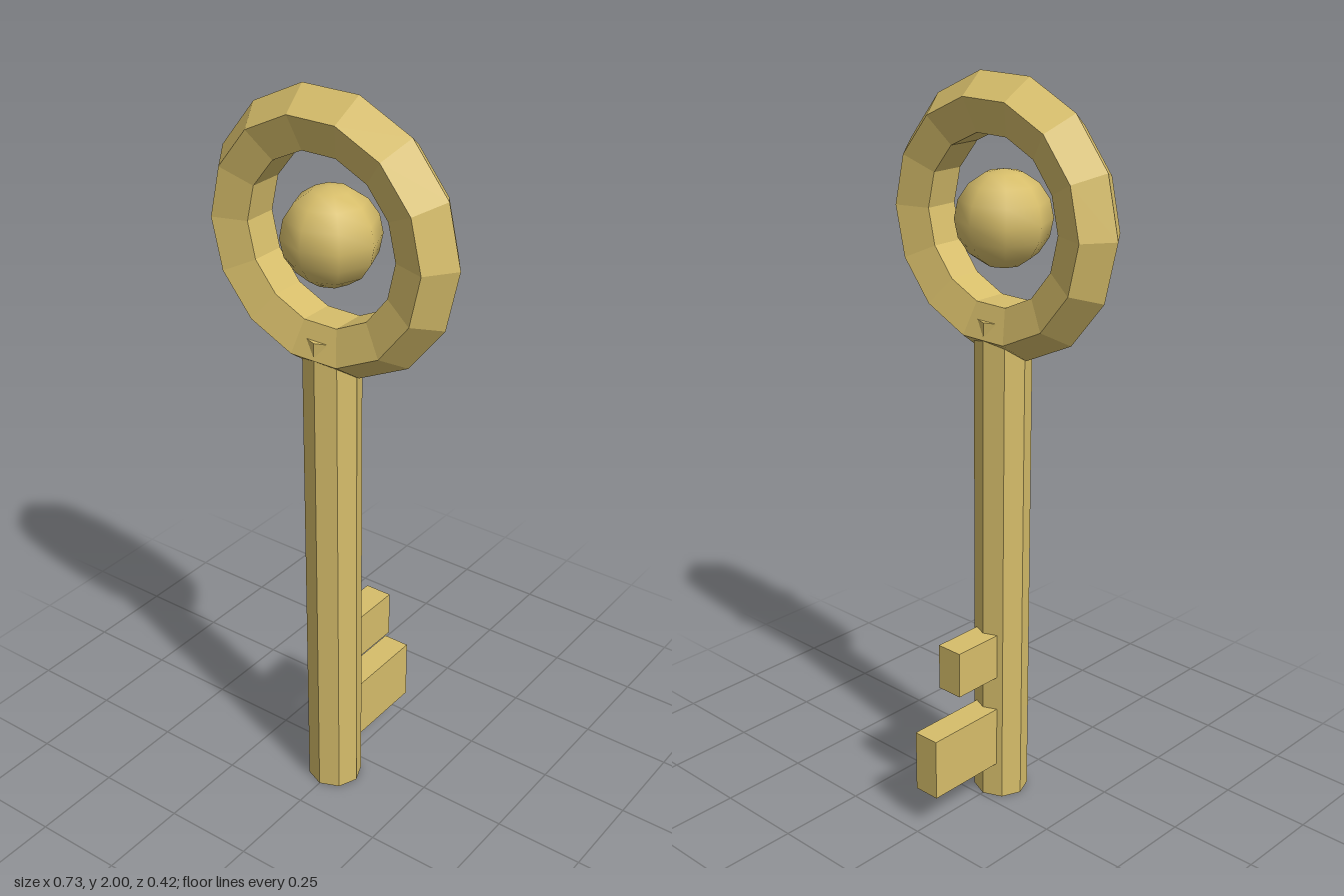
import * as THREE from 'three';

export function createModel() {
  const model = new THREE.Group();
  model.name = 'key';
  const brass = new THREE.MeshStandardMaterial({ color: 0xd6bd6a });
  brass.name = 'brass';

  const AXIS_Z = 0.086;  // depth of the shaft and ring
  const RING_Y = 1.645;  // height of the ring centre

  // Faceted look: unshared corners get one normal per face
  const faceted = (geometry) => {
    const flat = geometry.toNonIndexed();
    flat.computeVertexNormals();
    return flat;
  };
  const add = (name, geometry, x, y, z) => {
    const mesh = new THREE.Mesh(geometry, brass);
    mesh.name = name;
    mesh.position.set(x, y, z);
    model.add(mesh);
  };

  // Bow: fourteen-sided ring with a five-sided section, and a ball floating inside
  add('bowRing', faceted(new THREE.TorusGeometry(0.284, 0.081, 5, 14)), 0, RING_Y, AXIS_Z);
  add('bowBall', new THREE.SphereGeometry(0.125, 8, 8), 0, RING_Y, AXIS_Z);

  // Octagonal shaft, its top buried in the ring
  const shaftHeight = 1.39;
  add('shaft', faceted(new THREE.CylinderGeometry(0.075, 0.075, shaftHeight, 8)), 0, shaftHeight / 2, AXIS_Z);

  // Teeth reaching backwards from the shaft: [name, bottom, top, back]
  const toothFront = 0.04;
  for (const [name, bottom, top, back] of [
    ['lowerTooth', 0.105, 0.28, -0.213],
    ['upperTooth', 0.38, 0.51, -0.121],
  ]) {
    add(name, new THREE.BoxGeometry(0.076, top - bottom, toothFront - back),
      0, (bottom + top) / 2, (toothFront + back) / 2);
  }

  return model;
}
